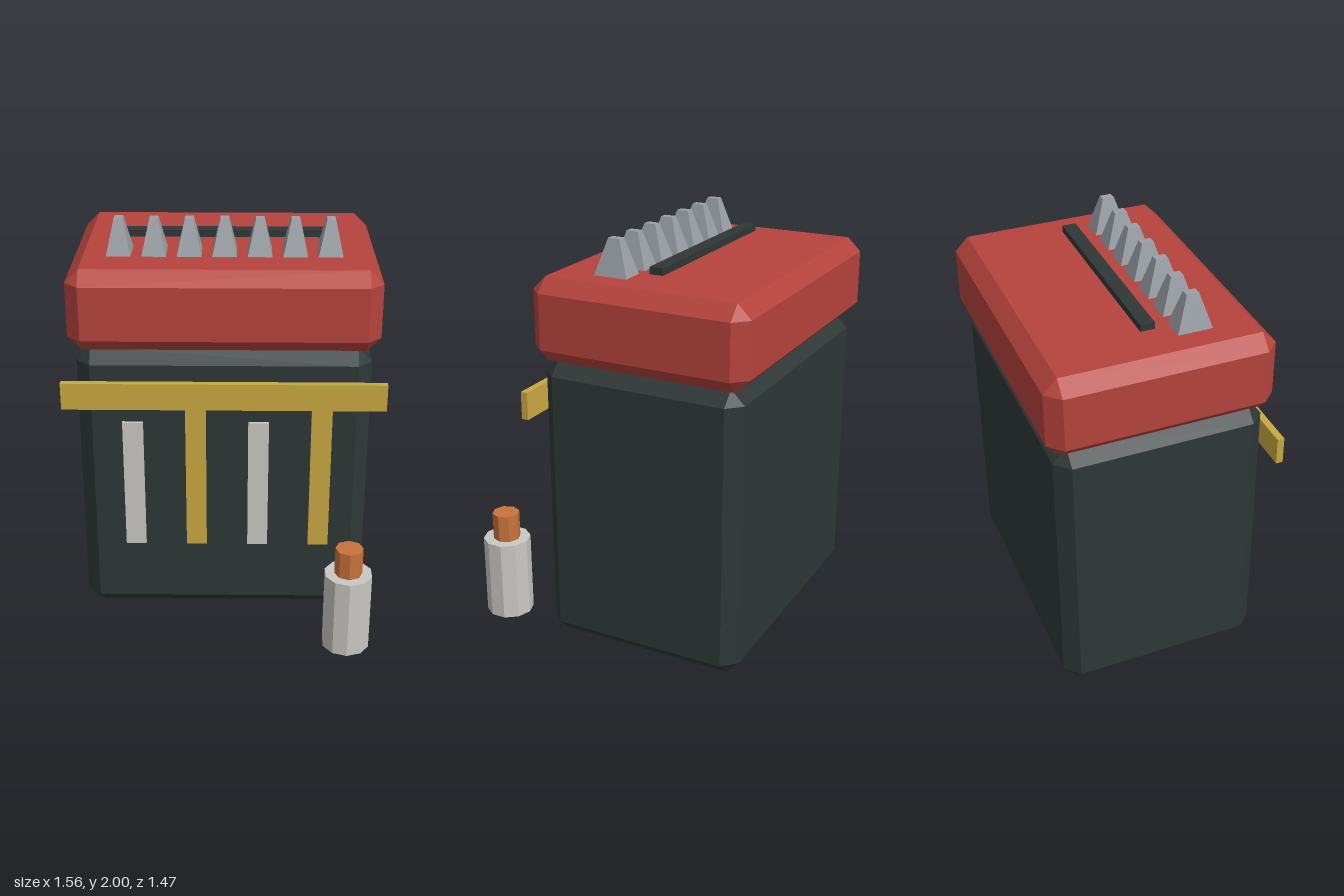
import * as THREE from 'three';
import { ConvexGeometry } from 'three/addons/geometries/ConvexGeometry.js';

const paint = (name, color) => {
  const m = new THREE.MeshStandardMaterial({ color });
  m.name = name;
  return m;
};

// Box with every edge bevelled and triangular corners
function bevelledBox(w, h, d, c) {
  const points = [];
  for (const sx of [-1, 1]) for (const sy of [-1, 1]) for (const sz of [-1, 1]) {
    const x = w / 2, y = h / 2, z = d / 2;
    points.push(
      new THREE.Vector3(sx * x, sy * (y - c), sz * (z - c)),
      new THREE.Vector3(sx * (x - c), sy * y, sz * (z - c)),
      new THREE.Vector3(sx * (x - c), sy * (y - c), sz * z)
    );
  }
  return new ConvexGeometry(points);
}

// Square frustum: box whose top corners are pulled inwards
function toothGeometry(w, h, d, taper) {
  const g = new THREE.BoxGeometry(w, h, d).toNonIndexed();
  const p = g.attributes.position;
  for (let i = 0; i < p.count; i++) {
    if (p.getY(i) > 0) p.setXYZ(i, p.getX(i) * taper, p.getY(i), p.getZ(i) * taper);
  }
  g.computeVertexNormals();
  return g;
}

// Few-sided cylinder with flat faces
function prism(radius, height, sides) {
  const g = new THREE.CylinderGeometry(radius, radius, height, sides).toNonIndexed();
  g.computeVertexNormals();
  return g;
}

export function createModel() {
  const group = new THREE.Group();
  const charcoal = paint('charcoal', 0x2e3737);
  const red = paint('red', 0xb5433c);
  const gold = paint('gold', 0xc9a840);
  const paleGrey = paint('pale grey', 0xcac8c4);
  const steel = paint('steel', 0x9aa0a6);
  const copper = paint('copper', 0xc8733a);

  const add = (name, geometry, material, x, y, z) => {
    const mesh = new THREE.Mesh(geometry, material);
    mesh.name = name;
    mesh.position.set(x, y, z);
    group.add(mesh);
  };

  // Case and lid
  add('body', bevelledBox(1.42, 1.43, 1.014, 0.068), charcoal, 0, 0.715, -0.195);
  add('lid', bevelledBox(1.488, 0.4, 1.085, 0.067), red, 0, 1.63, -0.197);

  // Row of teeth with a bar floating behind them
  const tooth = toothGeometry(0.118, 0.17, 0.167, 0.35);
  for (let i = 0; i < 7; i++) add('tooth', tooth, steel, (i - 3) * 0.169, 1.915, 0.006);
  add('topBar', new THREE.BoxGeometry(1.014, 0.034, 0.068), charcoal, 0, 1.869, -0.197);

  // Front rail and the strips below it
  add('frontRail', new THREE.BoxGeometry(1.557, 0.135, 0.034), gold, 0, 1.223, 0.354);
  for (let i = 0; i < 4; i++) {
    const isGold = i % 2 === 1;
    const top = isGold ? 1.17 : 1.085;
    add(isGold ? 'goldStrip' : 'paleStrip', new THREE.BoxGeometry(0.1, top - 0.41, 0.017),
      isGold ? gold : paleGrey, -0.44 + i * 0.304, (top + 0.41) / 2, 0.357);
  }

  // Small cylinder standing in front, with a copper tip
  add('canister', prism(0.118, 0.407, 10), paleGrey, 0.608, 0.2035, 0.617);
  add('canisterTip', prism(0.068, 0.14, 8), copper, 0.608, 0.475, 0.617);

  return group;
}
